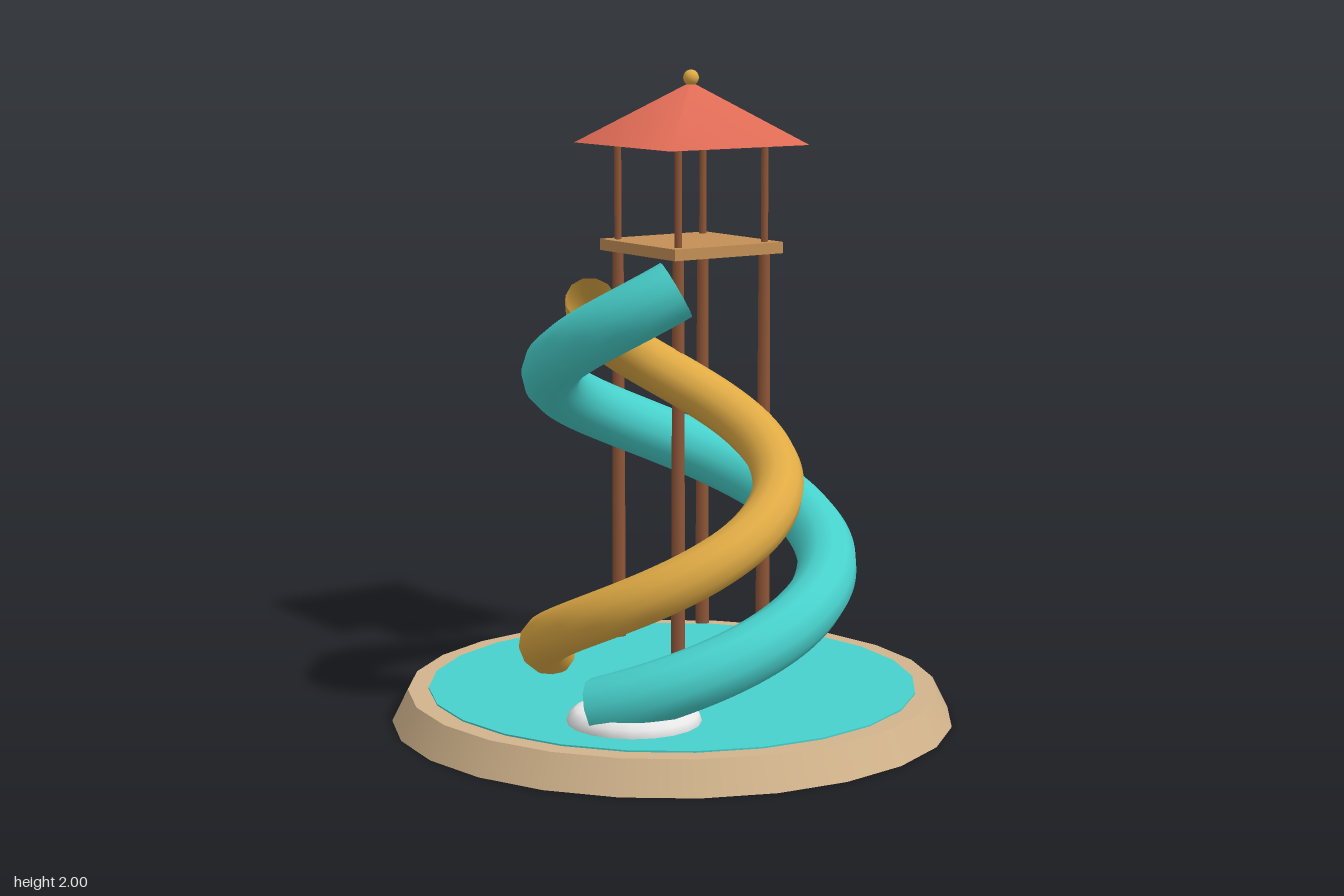
import * as THREE from 'three';

const mat = (name, color, side = THREE.FrontSide) => {
  const m = new THREE.MeshStandardMaterial({ color, side });
  m.name = name;
  return m;
};

// Widening spiral that descends as its angle (in degrees) grows
class SpiralCurve extends THREE.Curve {
  constructor(a0, a1, r0, r1, y0, y1) {
    super();
    Object.assign(this, { a0, a1, r0, r1, y0, y1 });
  }
  getPoint(t, target = new THREE.Vector3()) {
    const a = THREE.MathUtils.degToRad(THREE.MathUtils.lerp(this.a0, this.a1, t));
    const r = THREE.MathUtils.lerp(this.r0, this.r1, t);
    const y = THREE.MathUtils.lerp(this.y0, this.y1, t);
    return target.set(r * Math.cos(a), y, r * Math.sin(a));
  }
}

export function createModel() {
  const model = new THREE.Group();
  model.name = 'waterSlideTower';

  const sand = mat('sand', 0xd2b48c);
  const turquoise = mat('turquoise', 0x48d1cc, THREE.DoubleSide);
  const gold = mat('gold', 0xe0ab45, THREE.DoubleSide);
  const timber = mat('timber', 0xc49056);
  const brown = mat('brown', 0x8f5638);
  const red = mat('red', 0xe06c56);
  const white = mat('white', 0xf2f2f2);

  const add = (parent, name, geometry, material, x = 0, y = 0, z = 0) => {
    const mesh = new THREE.Mesh(geometry, material);
    mesh.name = name;
    mesh.position.set(x, y, z);
    parent.add(mesh);
    return mesh;
  };

  // Pool: bevelled rim with a thin water disc
  add(model, 'poolBase', new THREE.CylinderGeometry(0.83, 0.88, 0.1, 24), sand, 0, 0.05, 0);
  add(model, 'water', new THREE.CylinderGeometry(0.765, 0.765, 0.008, 24), turquoise, 0, 0.101, 0);

  // Tower: posts, platform, pyramid roof and ball
  const tower = new THREE.Group();
  tower.name = 'tower';
  tower.position.set(-0.415, 0, -0.366);
  model.add(tower);
  const spread = 0.172;
  for (const sx of [-1, 1]) {
    for (const sz of [-1, 1]) {
      add(tower, 'lowerPost', new THREE.CylinderGeometry(0.019, 0.024, 1.408, 8),
        brown, sx * spread, 0.706, sz * spread);
      add(tower, 'roofPost', new THREE.CylinderGeometry(0.012, 0.012, 0.34, 8),
        brown, sx * spread, 1.6, sz * spread);
    }
  }
  add(tower, 'platform', new THREE.BoxGeometry(0.43, 0.037, 0.43), timber, 0, 1.426, 0);
  const roof = add(tower, 'roof', new THREE.ConeGeometry(0.275 * Math.SQRT2, 0.2, 4), red, 0, 1.86, 0);
  roof.rotation.y = Math.PI / 4;
  add(tower, 'finial', new THREE.SphereGeometry(0.026, 16, 12), gold, 0, 1.974, 0);

  // Open spiral slides
  const outer = new SpiralCurve(33, 419, 0.32, 0.547, 1.385, 0.157);
  const inner = new SpiralCurve(121, 506, 0.25, 0.412, 1.315, 0.165);
  add(model, 'outerSlide', new THREE.TubeGeometry(outer, 120, 0.093, 12), turquoise);
  add(model, 'innerSlide', new THREE.TubeGeometry(inner, 120, 0.08, 12), gold);

  // Splash at the outer slide's exit
  const splash = new THREE.Group();
  splash.name = 'splash';
  splash.position.set(0.295, 0.105, 0.347);
  model.add(splash);
  const ring = add(splash, 'splashRing', new THREE.TorusGeometry(0.163, 0.04, 10, 20), white);
  ring.rotation.x = Math.PI / 2;
  add(splash, 'splashCone', new THREE.ConeGeometry(0.08, 0.14, 12), white, 0, 0.065, 0);

  return model;
}
